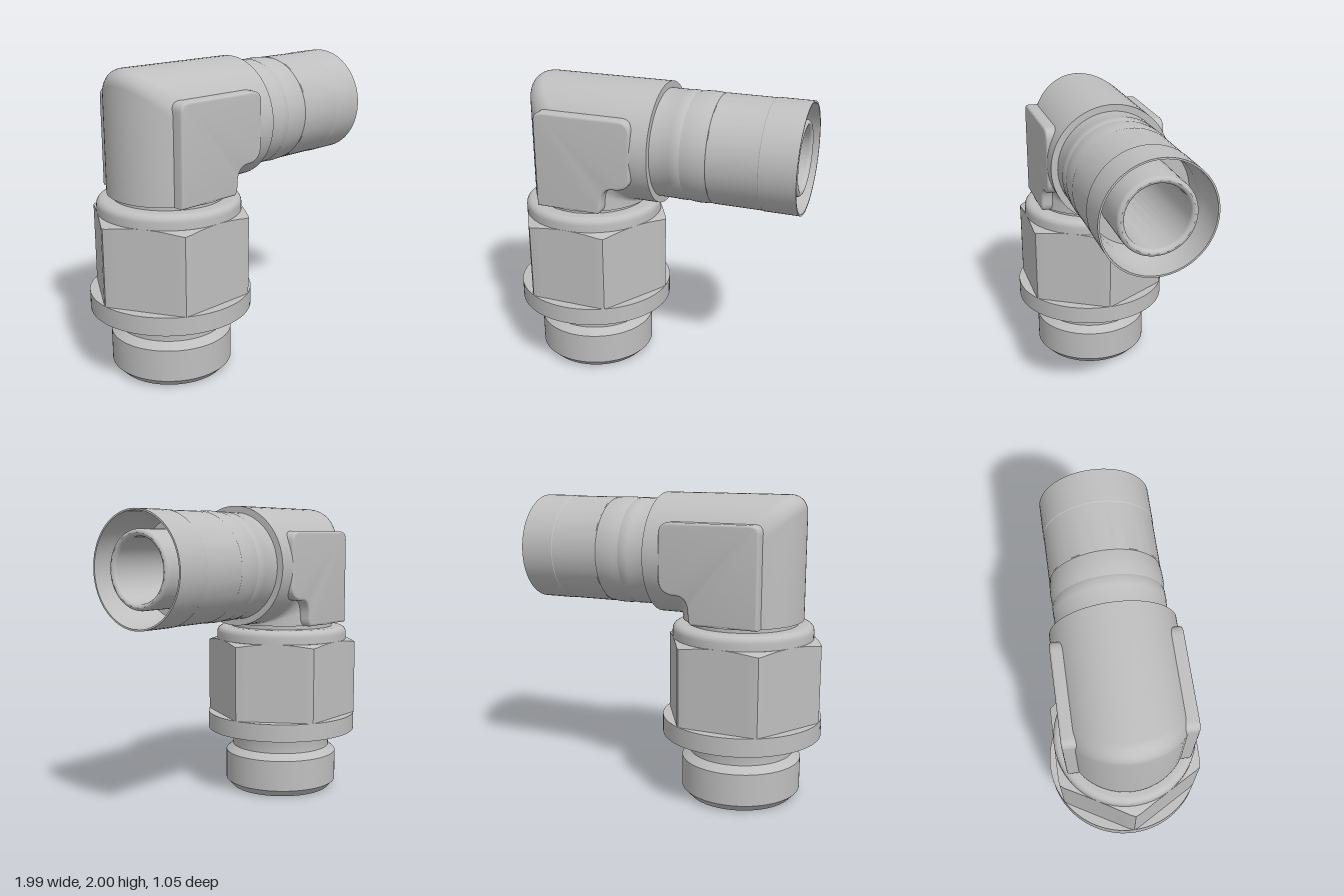
import * as THREE from 'three';
import { toCreasedNormals } from 'three/addons/utils/BufferGeometryUtils.js';

const CX = -0.467; // vertical axis
const CY = 1.605;  // height of the horizontal axis

function lathe(points) {
  const g = new THREE.LatheGeometry(points.map(p => new THREE.Vector2(p[0], p[1])), 72);
  return toCreasedNormals(g, 0.45);
}

// Surface from a grid of points: rows along the part, columns closed around it
function loft(rows, cols, pointAt, flip = false) {
  const pos = [], index = [];
  for (let i = 0; i < rows; i++)
    for (let j = 0; j < cols; j++) pos.push(...pointAt(i, j));
  for (let i = 0; i < rows - 1; i++)
    for (let j = 0; j < cols; j++) {
      const k = (j + 1) % cols;
      const a = i * cols + j, b = i * cols + k, c = b + cols, d = a + cols;
      if (flip) index.push(a, c, b, a, d, c);
      else index.push(a, b, c, a, c, d);
    }
  const g = new THREE.BufferGeometry();
  g.setAttribute('position', new THREE.Float32BufferAttribute(pos, 3));
  g.setIndex(index);
  return toCreasedNormals(g, 0.45);
}

// Round pipe going up, then turning to +x through a mitre with a small fillet
function bend(r, yStart, xEnd, fillet, flip) {
  const steps = 10, cols = 72;
  return loft(steps + 3, cols, (i, j) => {
    const t = j / cols * Math.PI * 2;
    const u = r * Math.cos(t), z = r * Math.sin(t);
    if (i === 0) return [CX - u, yStart, z];
    if (i === steps + 2) return [xEnd, CY + u, z];
    const f = Math.min(fillet, (r + u) * 0.5 + 0.002);
    const a = Math.PI - (i - 1) / steps * Math.PI / 2;
    return [CX - u + f + f * Math.cos(a), CY + u - f + f * Math.sin(a), z];
  }, flip);
}

// Hexagon with a conical chamfer on its upper corners
function hexNut() {
  const flat = 0.462, cols = 96;
  return loft(3, cols, (i, j) => {
    const t = j / cols * Math.PI * 2;
    const local = (t % (Math.PI / 3)) - Math.PI / 6;
    const h = Math.min(0.528, flat / Math.cos(local));
    const r = i === 2 ? 0.44 : h;
    const y = [0.545, 1.082 - (h - flat) * 0.36, 1.084][i];
    return [-r * Math.cos(t), y, r * Math.sin(t)];
  });
}

// Flat wrench pad with a stepped lower corner
function wrenchPad() {
  const s = new THREE.Shape();
  s.moveTo(-0.695, 1.2);
  s.lineTo(-0.26, 1.2);
  s.quadraticCurveTo(-0.238, 1.215, -0.238, 1.26);
  s.bezierCurveTo(-0.238, 1.34, -0.21, 1.38, -0.15, 1.38);
  s.bezierCurveTo(-0.08, 1.38, -0.035, 1.41, -0.035, 1.48);
  s.lineTo(-0.035, 1.755);
  s.quadraticCurveTo(-0.035, 1.835, -0.115, 1.835);
  s.lineTo(-0.635, 1.835);
  s.quadraticCurveTo(-0.695, 1.835, -0.695, 1.775);
  s.closePath();
  const b = 0.016;
  const g = new THREE.ExtrudeGeometry(s, {
    depth: 0.15, bevelEnabled: true, bevelSize: b, bevelThickness: b,
    bevelOffset: -b, bevelSegments: 4, curveSegments: 10,
  });
  g.translate(0, 0, 0.397 - 0.15 - b);
  return toCreasedNormals(g, 0.5);
}

export function createModel() {
  const model = new THREE.Group();
  const steel = new THREE.MeshStandardMaterial({ color: 0xbfbfbf });
  steel.name = 'steel grey';
  const add = (name, geometry, x = 0, y = 0) => {
    const m = new THREE.Mesh(geometry, steel);
    m.name = name;
    m.position.set(x, y, 0);
    model.add(m);
    return m;
  };

  // Lower stud with chamfered ends and an undercut neck
  add('threadedStud', lathe([
    [0.2, 0.015], [0.215, 0], [0.35, 0], [0.397, 0.05], [0.397, 0.262],
    [0.347, 0.305], [0.347, 0.405], [0.353, 0.42], [0.37, 0.43],
  ]), CX);
  add('flange', lathe([[0.34, 0.43], [0.527, 0.43], [0.527, 0.55], [0.4, 0.55]]), CX);
  add('hexNut', hexNut(), CX);

  // Rounded collar above the nut, then the short neck
  const collar = [[0.44, 1.07], [0.462, 1.08], [0.462, 1.125]];
  for (let i = 1; i <= 6; i++) {
    const a = i / 6 * Math.PI / 2;
    collar.push([0.417 + 0.045 * Math.cos(a), 1.127 + 0.045 * Math.sin(a)]);
  }
  collar.push([0.36, 1.172], [0.36, 1.2], [0.395, 1.2]);
  add('collarAndNeck', lathe(collar), CX);

  // Elbow body and its bore
  add('elbowBody', bend(0.395, 1.2, 0.075, 0.1, false));
  add('bore', bend(0.197, 0.015, 0.95, 0.18, true));

  // Wrench pads on both sides
  const pad = wrenchPad();
  add('wrenchPadFront', pad);
  const back = pad.clone();
  const p = back.attributes.position, n = back.attributes.normal;
  for (let i = 0; i < p.count; i += 3) {
    // mirror in z and swap two corners to keep faces outward
    for (const a of [p, n]) {
      const c = [0, 2, 1].map(k => [a.getX(i + k), a.getY(i + k), -a.getZ(i + k)]);
      c.forEach((v, k) => a.setXYZ(i + k, ...v));
    }
  }
  add('wrenchPadBack', back);

  // Outer sleeve, open at the end, with a recess around the inner tube
  const sleeve = lathe([
    [0.395, 0.075], [0.352, 0.075], [0.352, 0.2], [0.354, 0.205], [0.354, 0.255],
    [0.349, 0.27], [0.355, 0.31], [0.357, 0.35], [0.355, 0.4], [0.35, 0.435],
    [0.353, 0.44], [0.353, 0.76], [0.356, 0.765], [0.356, 0.993],
    [0.345, 0.993], [0.342, 0.8], [0.318, 0.74], [0.318, 0.62], [0.22, 0.62],
  ]).rotateZ(-Math.PI / 2);
  add('outerSleeve', sleeve, 0, CY);

  // Inner tube with a rounded lip
  const tube = [[0.24, 0.6]];
  for (let i = 0; i <= 8; i++) {
    const a = i / 8 * Math.PI;
    tube.push([0.2185 + 0.0215 * Math.cos(a), 0.95 + 0.025 * Math.sin(a)]);
  }
  add('innerTube', lathe(tube).rotateZ(-Math.PI / 2), 0, CY);

  return model;
}
